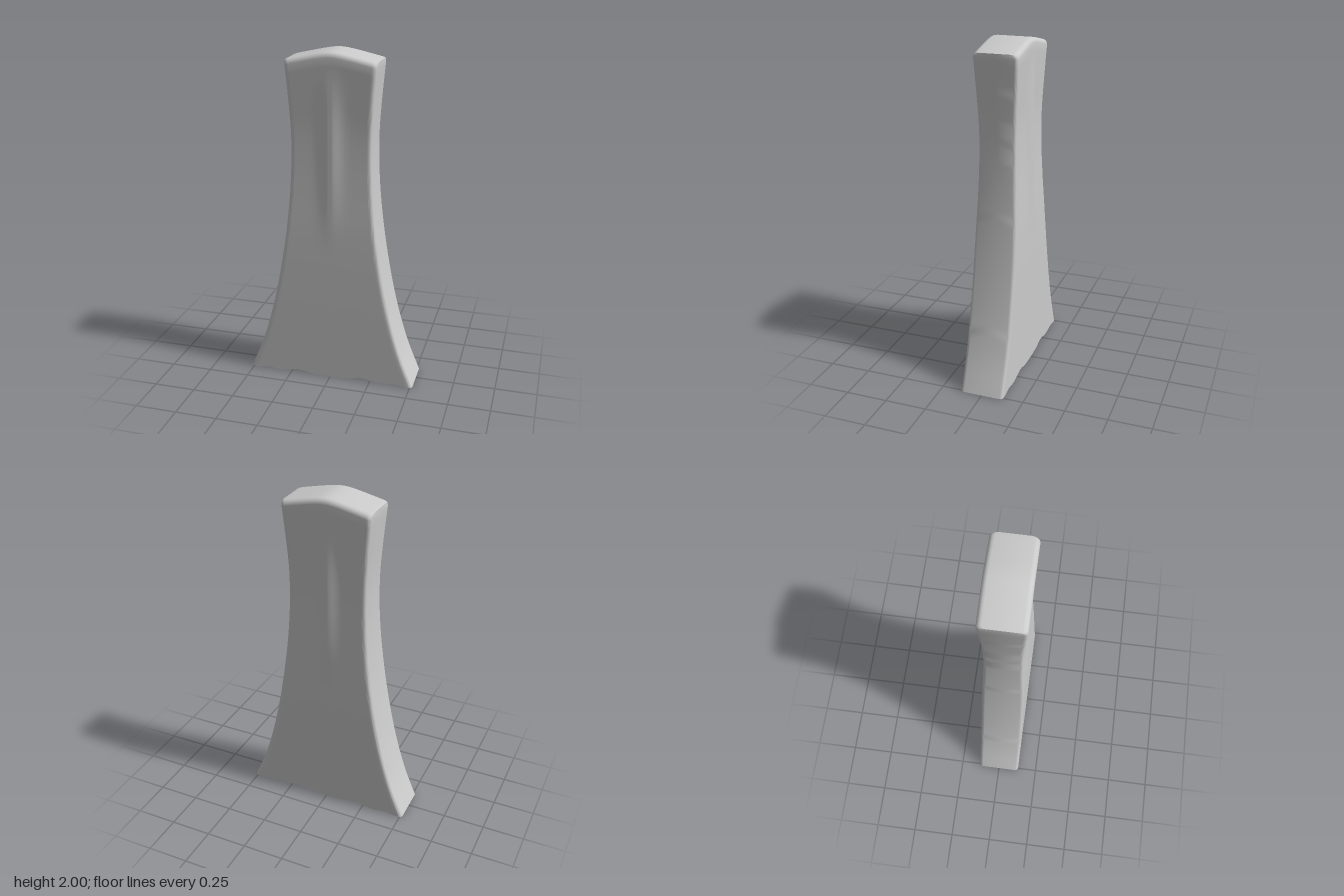
import * as THREE from 'three';
import { toCreasedNormals } from 'three/addons/utils/BufferGeometryUtils.js';

// Height, half width, half depth along the body
const PROFILE = [
  [0, 0.515, 0.13], [0.2, 0.437, 0.13], [0.4, 0.379, 0.13], [0.6, 0.334, 0.129],
  [0.8, 0.298, 0.127], [1, 0.27, 0.123], [1.2, 0.25, 0.116], [1.4, 0.239, 0.111],
  [1.6, 0.238, 0.111], [1.8, 0.248, 0.12], [2, 0.263, 0.13],
];
const curve = new THREE.CatmullRomCurve3(PROFILE.map(([y, w, d]) => new THREE.Vector3(w, y, d)));

const LAYERS = 40, ACROSS = 48, CORNER = 4, ROUND = 4;
const EDGE = 0.02, TOP_EDGE = 0.03;

const bell = (x, centre, width) => Math.exp(-(((x - centre) / width) ** 2));
// Softly pointed top
const topY = (u) => 2 - 0.05 * (Math.sqrt(u * u + 0.05) - Math.sqrt(0.05)) / 0.8;
// Ripple along the lower hem
const hem = (x) => 0.02 * bell(Math.abs(x), 0.2, 0.07) + 0.01 * bell(Math.abs(x), 0.4, 0.045);

// Front half of a rounded rectangle, from -x to +x, with a raised centre ridge
function halfSection(w, d) {
  const pts = [[-w, 0]];
  const arc = (side, from, to) => {
    for (let i = 0; i <= CORNER; i++) {
      const a = from + (to - from) * i / CORNER;
      pts.push([side * (w - EDGE) + EDGE * Math.cos(a), d - EDGE + EDGE * Math.sin(a)]);
    }
  };
  arc(-1, Math.PI, Math.PI / 2);
  for (let i = 1; i < ACROSS; i++) {
    const x = (w - EDGE) * (2 * i / ACROSS - 1);
    pts.push([x, d + Math.max(0, 0.126 - d) * bell(x, 0, 0.055)]);
  }
  arc(1, Math.PI / 2, 0);
  pts.push([w, 0]);
  return pts;
}

// One layer of the half section, as [x, y, z] points
function layer(t, lift = 0, inset = 0) {
  const c = curve.getPoint(t);
  return halfSection(c.x, c.z).map(([x, z]) => {
    const y = (topY(x / c.x) - TOP_EDGE) * c.y / 2 + lift;
    const ripple = hem(x) * Math.min(1, z / c.z) * (1 - t) ** 8;
    return [x, y + ripple, z * (1 - inset / c.z)];
  });
}

// Joins rows of points into a surface
function skin(rows, out, flip = false) {
  for (let j = 0; j + 1 < rows.length; j++) {
    for (let i = 0; i + 1 < rows[j].length; i++) {
      const a = rows[j][i], b = rows[j][i + 1], c = rows[j + 1][i + 1], d = rows[j + 1][i];
      const tris = flip ? [a, c, b, a, d, c] : [a, b, c, a, c, d];
      for (const p of tris) out.push(...p);
    }
  }
}

const mirrorZ = (row) => row.map(([x, y, z]) => [x, y, -z]);

export function createModel() {
  const rows = [];
  for (let j = 0; j <= LAYERS; j++) rows.push(layer(j / LAYERS));
  // Rounded upper edges
  for (let k = 1; k <= ROUND; k++) {
    const a = k / ROUND * Math.PI / 2;
    rows.push(layer(1, TOP_EDGE * Math.sin(a), TOP_EDGE * (1 - Math.cos(a))));
  }
  // Level the ends of the rounded layers with the top surface
  const out = [];
  skin(rows, out);
  skin(rows.map(mirrorZ), out, true);

  // Top cap
  const top = rows[rows.length - 1];
  skin([top, mirrorZ(top)], out);
  // Underside, flat along the middle and rippled at both rims
  const base = rows[0];
  const middle = base.map(([x]) => [x, 0, 0]);
  skin([base, middle, mirrorZ(base)], out, true);

  const geometry = new THREE.BufferGeometry();
  geometry.setAttribute('position', new THREE.Float32BufferAttribute(out, 3));
  const body = new THREE.Mesh(
    toCreasedNormals(geometry, 0.6),
    new THREE.MeshStandardMaterial({ color: 0xcccccc }),
  );
  body.name = 'flaredBody';

  const group = new THREE.Group();
  group.name = 'flaredPanel';
  group.add(body);
  return group;
}
